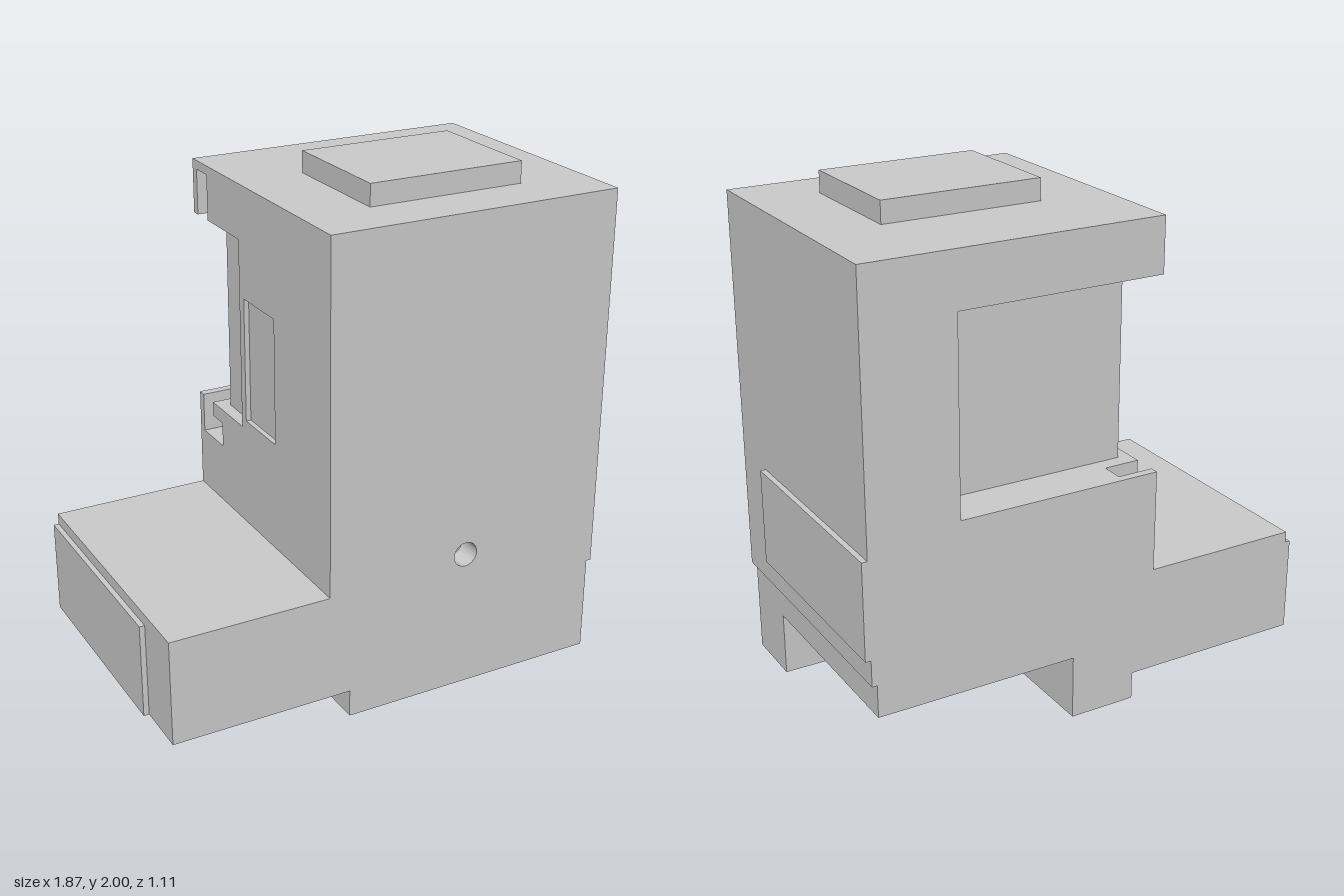
import * as THREE from 'three';

const BACK = -0.555, FRONT = 0.555, LEFT = -0.275, RIGHT = 0.91;
const PLATE = 0.455; // rear plane of the front plate

export function createModel() {
  const model = new THREE.Group();
  const material = new THREE.MeshStandardMaterial({ color: 0xcccccc, flatShading: true });

  const add = (name, geometry) => {
    const mesh = new THREE.Mesh(geometry, material);
    mesh.name = name;
    model.add(mesh);
    return mesh;
  };
  const box = (name, x0, x1, y0, y1, z0, z1) =>
    add(name, new THREE.BoxGeometry(x1 - x0, y1 - y0, z1 - z0))
      .position.set((x0 + x1) / 2, (y0 + y1) / 2, (z0 + z1) / 2);
  const outline = (pts) => new THREE.Shape(pts.map(([x, y]) => new THREE.Vector2(x, y)));

  // Horizontal slab from a plan outline given as [x, z]
  const slab = (name, y0, y1, plan) => {
    const g = new THREE.ExtrudeGeometry(outline(plan.map(([x, z]) => [x, -z])),
      { depth: y1 - y0, bevelEnabled: false });
    g.rotateX(-Math.PI / 2);
    add(name, g).position.y = y0;
  };

  // Front plate: full silhouette with a small round socket
  const front = outline([
    [-0.19, 0], [0.89, 0], [0.89, 0.385], [RIGHT, 0.385], [RIGHT, 1.915],
    [LEFT, 1.915], [LEFT, 0.535], [-0.915, 0.535], [-0.915, 0.11], [-0.19, 0.11],
  ]);
  front.holes.push(new THREE.Path().absarc(0.31, 0.565, 0.05, 0, Math.PI * 2, true));
  add('frontPlate', new THREE.ExtrudeGeometry(front,
    { depth: FRONT - PLATE, bevelEnabled: false, curveSegments: 12 })).position.z = PLATE;

  // Foot with an open corner at the back right, then the set-in base
  slab('foot', 0, 0.255, [
    [-0.19, BACK], [0.08, BACK], [0.08, 0.3], [0.89, 0.3], [0.89, PLATE], [-0.19, PLATE],
  ]);
  box('base', -0.19, 0.89, 0.255, 0.385, BACK, PLATE);
  box('sideShelf', -0.915, -0.19, 0.11, 0.535, BACK, PLATE);
  box('lowerBody', LEFT, RIGHT, 0.385, 0.78, BACK, PLATE);

  // Layers with a hinge notch cut into the left wall
  const notched = (name, y0, y1, zEnd) => slab(name, y0, y1, [
    [LEFT, BACK], [RIGHT, BACK], [RIGHT, PLATE], [LEFT, PLATE],
    [LEFT, zEnd], [-0.13, zEnd], [-0.13, -0.52], [LEFT, -0.52],
  ]);
  notched('lowerHingeLayer', 0.78, 0.88, -0.345);
  notched('sillLayer', 0.88, 0.94, -0.43);
  notched('upperHingeLayer', 1.7, 1.88, -0.43);

  // Window layers: recess wraps the back left corner, one has a sunken side panel
  const windowLayer = (name, y0, y1, panel = []) => slab(name, y0, y1, [
    [0.55, BACK], [RIGHT, BACK], [RIGHT, PLATE], [LEFT, PLATE], ...panel,
    [LEFT, -0.16], [-0.225, -0.16], [-0.225, -0.37], [0.55, -0.37],
  ]);
  windowLayer('windowBottom', 0.94, 0.977);
  windowLayer('windowMiddle', 0.977, 1.477,
    [[LEFT, 0.124], [-0.255, 0.124], [-0.255, -0.123], [LEFT, -0.123]]);
  windowLayer('windowTop', 1.477, 1.7);
  box('roof', LEFT, RIGHT, 1.88, 1.915, BACK, PLATE);

  // Raised cover plates
  box('roofCap', 0, 0.635, 1.915, 2, -0.17, 0.337);
  box('rightPlate', RIGHT, 0.932, 0.49, 0.875, BACK, 0.337);
  box('shelfEndPlate', -0.936, -0.915, 0.11, 0.49, BACK, 0.337);

  return model;
}
